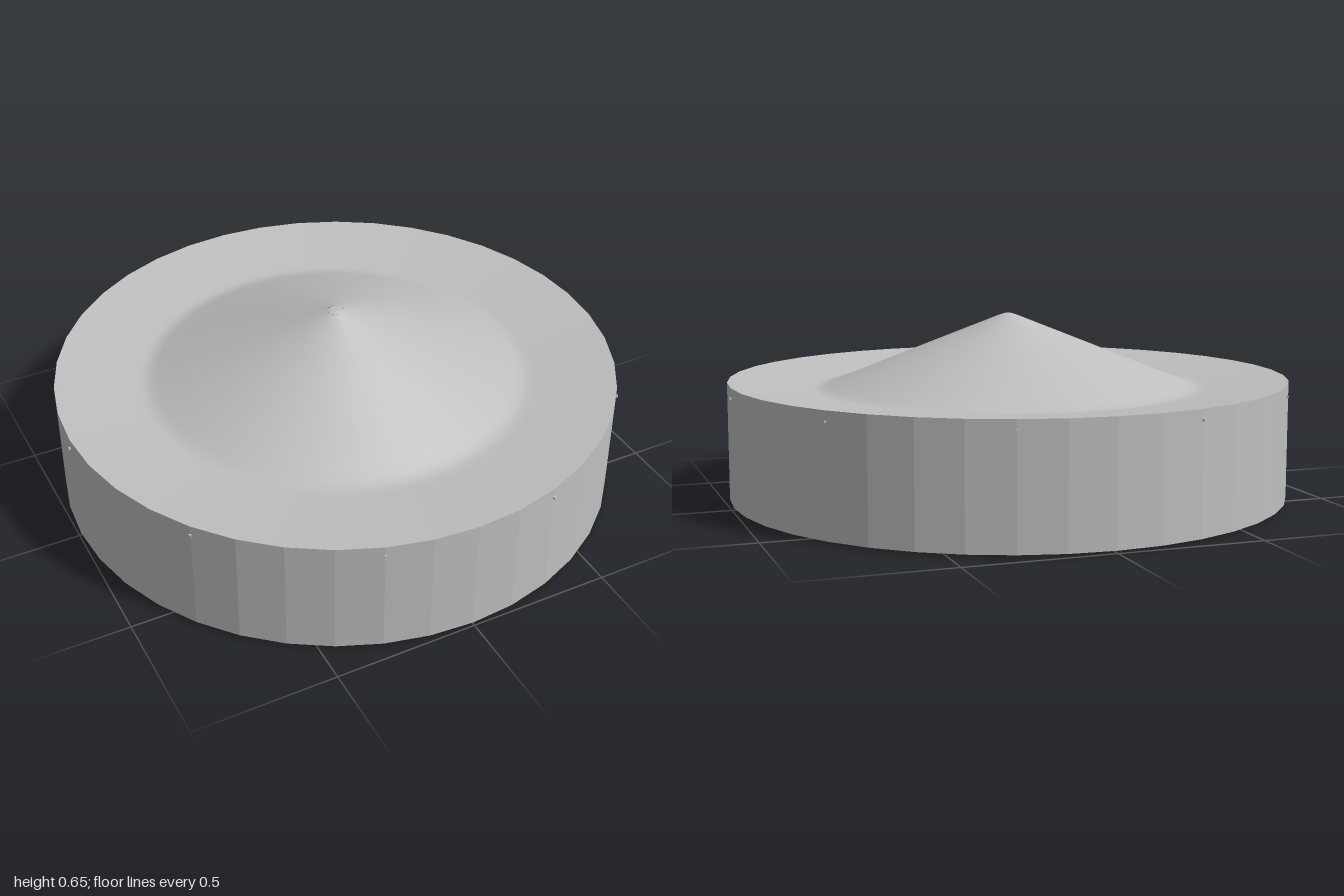
import * as THREE from 'three';

const SIDES = 40;
const RADIUS = 0.993;
const BASE = 0.007;
const RIM = 0.42;

export function createModel() {
  const group = new THREE.Group();
  const grey = new THREE.MeshStandardMaterial({ color: 0xbfbfbf });
  grey.name = 'light grey';
  const facetedGrey = grey;

  const add = (name, geometry, material = grey) => {
    const mesh = new THREE.Mesh(geometry, material);
    mesh.name = name;
    group.add(mesh);
    return mesh;
  };

  // Faceted drum wall, open at the top where the dished lid sits
  const wall = new THREE.CylinderGeometry(RADIUS, RADIUS, RIM - BASE, SIDES, 1, true).toNonIndexed();
  wall.computeVertexNormals();
  add('drumWall', wall, facetedGrey).position.y = (RIM + BASE) / 2;

  // Flat underside
  const underside = new THREE.CircleGeometry(RADIUS, SIDES);
  underside.rotateX(Math.PI / 2);
  add('underside', underside).position.y = BASE;

  // Lid: rim sloping inward to a soft valley, then a cone up to a blunt tip
  const lidProfile = [
    [RADIUS, RIM], [0.85, 0.404], [0.72, 0.39], [0.69, 0.387], [0.665, 0.388],
    [0.635, 0.398], [0.58, 0.42], [0.3, 0.533], [0.03, 0.641],
  ].map(([r, y]) => new THREE.Vector2(r, y));
  add('dishedLid', new THREE.LatheGeometry(lidProfile, SIDES));

  // Blunt tip
  add('tip', new THREE.CylinderGeometry(0.015, 0.03, 0.005, 16)).position.y = 0.6435;

  // Two curved feet on the underside, cut straight along a central gap
  const outer = 0.535, inner = 0.475, gap = 0.14;
  for (const side of [1, -1]) {
    const a = Math.acos(gap / outer), b = Math.acos(gap / inner);
    const shape = new THREE.Shape();
    shape.absarc(0, 0, outer, -a, a, false);
    shape.absarc(0, 0, inner, b, -b, true);
    const foot = new THREE.ExtrudeGeometry(shape, { depth: BASE, bevelEnabled: false, curveSegments: 24 });
    foot.rotateX(-Math.PI / 2);
    if (side < 0) foot.rotateY(Math.PI);
    add(side > 0 ? 'leftFoot' : 'rightFoot', foot);
  }

  // Ten tiny pins just below the rim
  for (let i = 0; i < 10; i++) {
    const angle = (18 + i * 36) * Math.PI / 180;
    const pin = add('rimPin', new THREE.BoxGeometry(0.008, 0.008, 0.014));
    pin.position.set(Math.sin(angle) * RADIUS, 0.385, Math.cos(angle) * RADIUS);
    pin.rotation.y = angle;
  }
  return group;
}
